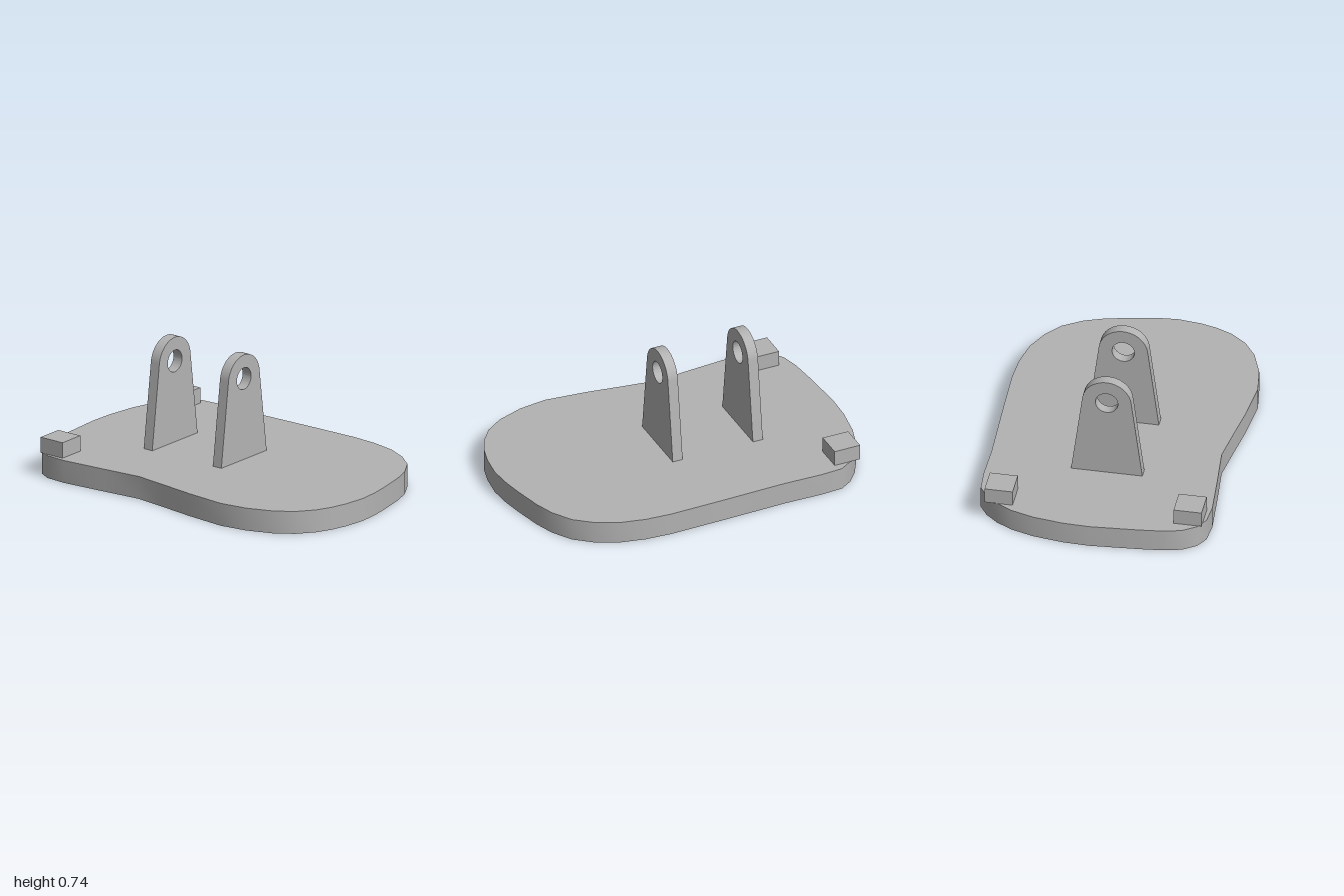
import * as THREE from 'three';
import { toCreasedNormals } from 'three/addons/utils/BufferGeometryUtils.js';

const grey = new THREE.MeshStandardMaterial({ color: 0xb3b3b3 });
grey.name = 'grey';

const BASE_TOP = 0.13;

function extrude(shape, depth) {
  const geometry = new THREE.ExtrudeGeometry(shape, { depth, bevelEnabled: false, curveSegments: 32 });
  return toCreasedNormals(geometry, 0.6);
}

function addMesh(group, name, geometry) {
  const mesh = new THREE.Mesh(geometry, grey);
  mesh.name = name;
  group.add(mesh);
  return mesh;
}

// Rounded, slightly waisted outline of the base, as [x, z]
const outline = [
  [-1, 0], [-0.98, 0.27], [-0.965, 0.41], [-0.94, 0.51], [-0.89, 0.585], [-0.82, 0.625], [-0.7, 0.635],
  [-0.45, 0.615], [-0.2, 0.592], [0, 0.62], [0.2, 0.65], [0.44, 0.673], [0.6, 0.65], [0.75, 0.595],
  [0.85, 0.525], [0.92, 0.435], [0.96, 0.345], [0.985, 0.25], [1, 0.12], [0.99, 0], [0.97, -0.11],
  [0.93, -0.28], [0.89, -0.39], [0.82, -0.5], [0.72, -0.58], [0.6, -0.638], [0.45, -0.67], [0.3, -0.68],
  [0, -0.673], [-0.4, -0.66], [-0.62, -0.664], [-0.75, -0.655], [-0.82, -0.61], [-0.88, -0.54],
  [-0.93, -0.45], [-0.97, -0.32], [-0.995, -0.15],
];

// Upright lug: tapered sides tangent to a round top, with a pin hole
function lugShape() {
  const centre = 0.6, radius = 0.138, tangent = 0.129;
  const shape = new THREE.Shape();
  shape.moveTo(-0.2, BASE_TOP);
  shape.lineTo(0.2, BASE_TOP);
  shape.absarc(0, centre, radius, tangent, Math.PI - tangent, false);
  shape.closePath();
  const hole = new THREE.Path();
  hole.absarc(0, centre, 0.063, 0, Math.PI * 2, true);
  shape.holes.push(hole);
  return shape;
}

export function createModel() {
  const model = new THREE.Group();
  model.name = 'mountingBracket';

  // Base plate
  const baseShape = new THREE.Shape(outline.map(([x, z]) => new THREE.Vector2(x, -z)));
  addMesh(model, 'basePlate', extrude(baseShape, BASE_TOP).rotateX(-Math.PI / 2));

  // Pair of pin lugs
  const lug = extrude(lugShape(), 0.06).rotateY(Math.PI / 2);
  addMesh(model, 'rightLug', lug).position.x = -0.48;
  addMesh(model, 'leftLug', lug).position.x = 0.007;

  // Stop blocks at the two corners
  const block = new THREE.BoxGeometry(0.155, 0.09, 0.157);
  for (const side of [1, -1]) {
    addMesh(model, side > 0 ? 'frontBlock' : 'backBlock', block)
      .position.set(-0.804, BASE_TOP + 0.045, side * 0.53);
  }
  return model;
}
